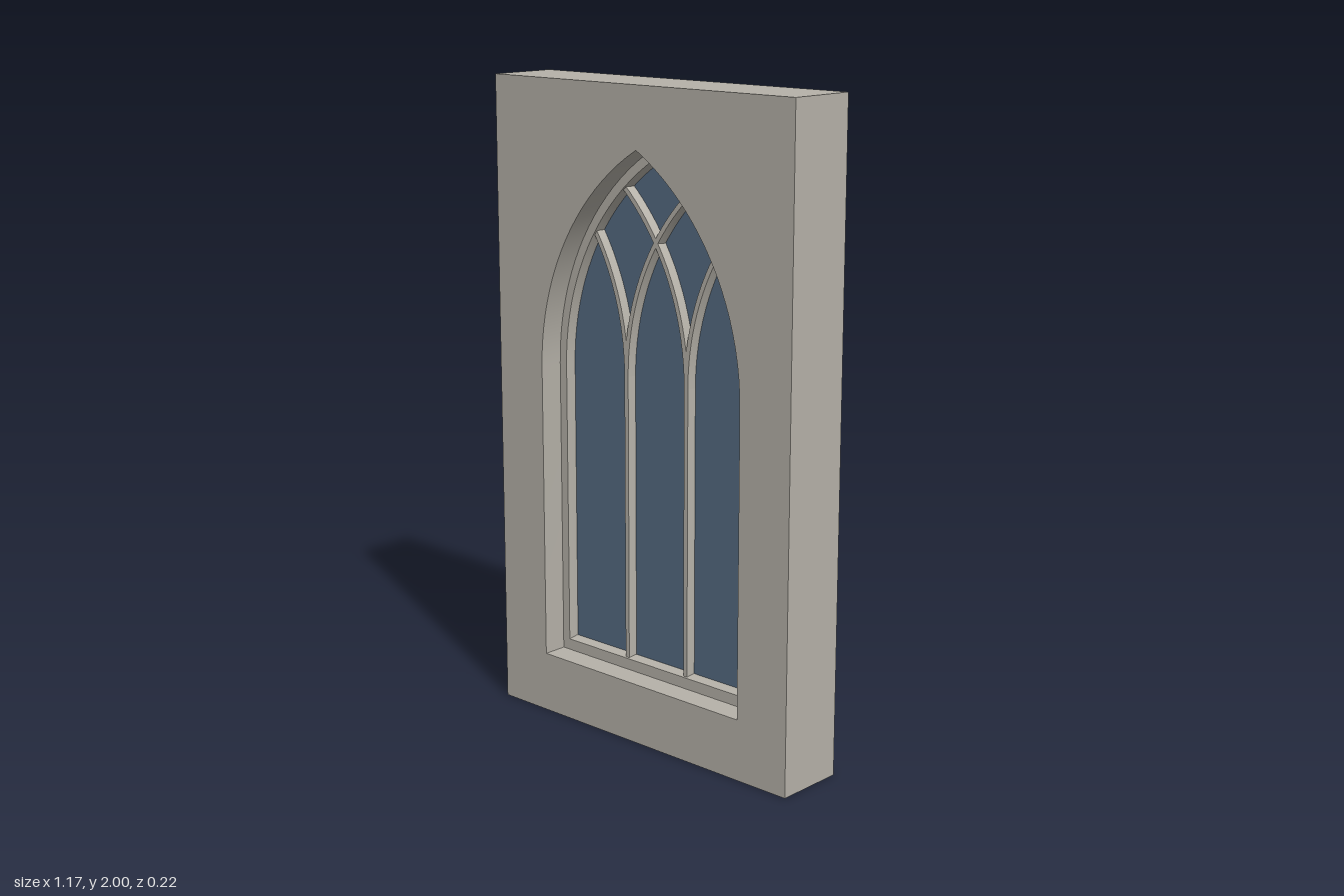
import * as THREE from 'three';
import { toCreasedNormals } from 'three/addons/utils/BufferGeometryUtils.js';

const HALF = 0.4, RADIUS = 0.8, SPRING = 1.122, SILL = 0.19; // equilateral pointed arch
const WALL_DEPTH = 0.225;
const MULLION_X = 0.121, BAR_RADIUS = 0.775;

// Outline of the arched opening, moved inwards by d, counterclockwise from the front
function archOutline(d, steps = 20) {
  const x = HALF - d, y = SILL + d * 1.25, r = RADIUS - d;
  const top = Math.acos(HALF / r);
  const right = [];
  for (let i = 0; i <= steps; i++) {
    const a = top * i / steps;
    right.push(new THREE.Vector2(-HALF + r * Math.cos(a), SPRING + r * Math.sin(a)));
  }
  const left = right.slice(0, -1).reverse().map(p => new THREE.Vector2(-p.x, p.y));
  return [new THREE.Vector2(-x, y), new THREE.Vector2(x, y), ...right, ...left];
}

// Surface through rows of points; every row is a closed cross-section
function loft(rows, closed) {
  const pos = [], index = [], n = rows[0].length, m = rows.length;
  rows.forEach(row => row.forEach(p => pos.push(...p)));
  for (let i = 0; i < (closed ? m : m - 1); i++) {
    for (let j = 0; j < n; j++) {
      const k = (i + 1) % m, l = (j + 1) % n;
      const a = i * n + j, b = k * n + j, c = k * n + l, d = i * n + l;
      index.push(a, b, d, b, c, d);
    }
  }
  const g = new THREE.BufferGeometry();
  g.setAttribute('position', new THREE.Float32BufferAttribute(pos, 3));
  g.setIndex(index);
  return toCreasedNormals(g, 0.4);
}

// Chamfered stone bar swept along a path in the window plane
function bar(path) {
  const profile = [[-0.0135, 0.012], [-0.0075, 0.03], [0.0075, 0.03], [0.0135, 0.012],
    [0.0135, -0.012], [0.0075, -0.03], [-0.0075, -0.03], [-0.0135, -0.012]];
  return loft(path.map((p, i) => {
    const t = path[Math.min(i + 1, path.length - 1)].clone()
      .sub(path[Math.max(i - 1, 0)]).normalize();
    return profile.map(([o, z]) => [p.x - t.y * o, p.y + t.x * o, z]);
  }), false);
}

// Arc from a mullion head, bending towards side s until it meets the frame
function traceryPath(x0, s, steps = 18) {
  const c = s * x0 + BAR_RADIUS, reach = 0.783;
  const endX = (reach ** 2 - BAR_RADIUS ** 2 + c * c - HALF * HALF) / (2 * (c + HALF));
  const end = Math.acos((c - endX) / BAR_RADIUS);
  return Array.from({ length: steps + 1 }, (_, i) => {
    const a = end * i / steps;
    return new THREE.Vector2(s * (c - BAR_RADIUS * Math.cos(a)), SPRING + BAR_RADIUS * Math.sin(a));
  });
}

export function createModel() {
  const stone = new THREE.MeshStandardMaterial({ color: 0xb6b2a9 });
  stone.name = 'stone';
  const glass = new THREE.MeshStandardMaterial({ color: 0x566b82 });
  glass.name = 'blueGlass';

  const model = new THREE.Group();
  model.name = 'archedWindow';
  const add = (name, geometry, material) => {
    const mesh = new THREE.Mesh(geometry, material);
    mesh.name = name;
    model.add(mesh);
    return mesh;
  };

  // Wall slab with a pointed opening
  const slab = new THREE.Shape([[-0.585, 0], [0.585, 0], [0.585, 2], [-0.585, 2]]
    .map(p => new THREE.Vector2(...p)));
  slab.holes.push(new THREE.Path(archOutline(0).reverse()));
  const wall = new THREE.ExtrudeGeometry(slab, { depth: WALL_DEPTH, bevelEnabled: false });
  wall.translate(0, 0, -WALL_DEPTH / 2);
  add('wall', toCreasedNormals(wall, 0.4), stone);

  // Chamfered frame and sill lining the middle of the opening
  const section = [[0, 0.035], [0.028, 0.035], [0.034, 0.012],
    [0.034, -0.012], [0.028, -0.035], [0, -0.035]];
  const rings = section.map(([d]) => archOutline(d));
  const rows = rings[0].map((_, i) => section.map(([, z], j) => [rings[j][i].x, rings[j][i].y, z]));
  add('frame', loft(rows, true), stone);

  // Glass pane
  const pane = new THREE.ExtrudeGeometry(new THREE.Shape(archOutline(0.02)),
    { depth: 0.008, bevelEnabled: false });
  pane.translate(0, 0, -0.004);
  add('glassPane', pane, glass);

  // Mullions, each forking into two crossing tracery arcs
  for (const [side, x] of [['left', MULLION_X], ['right', -MULLION_X]]) {
    add(side + 'Mullion', bar([new THREE.Vector2(x, 0.21), new THREE.Vector2(x, SPRING)]), stone);
    add(side + 'TraceryToLeft', bar(traceryPath(x, 1)), stone);
    add(side + 'TraceryToRight', bar(traceryPath(x, -1)), stone);
  }
  return model;
}
